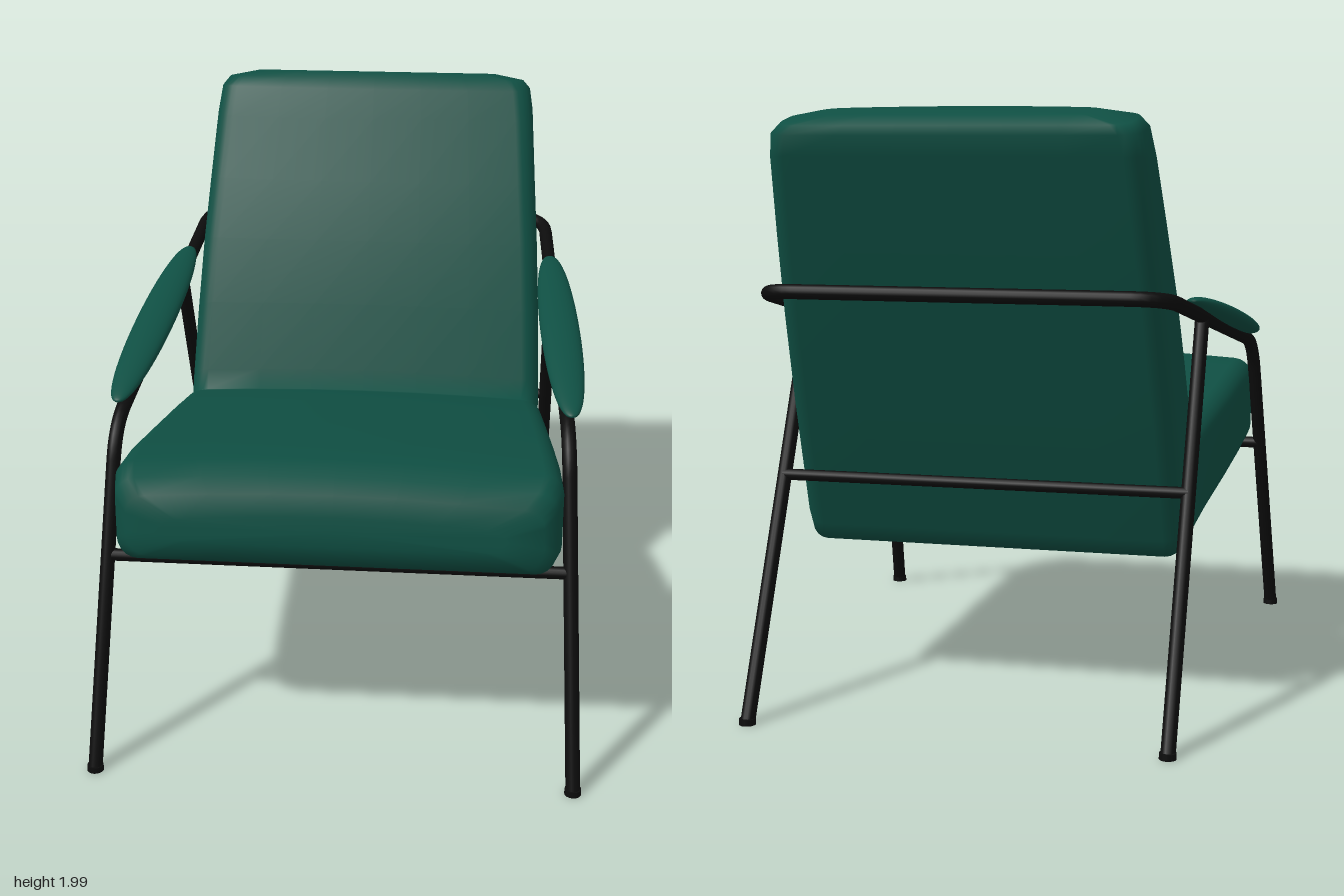
import * as THREE from 'three';

const fabric = new THREE.MeshStandardMaterial({ color: 0x0f4f43 });
fabric.name = 'green fabric';
const metal = new THREE.MeshStandardMaterial({ color: 0x0c0c0c });
metal.name = 'black metal';

function addMesh(parent, name, geometry, material) {
  const mesh = new THREE.Mesh(geometry, material);
  mesh.name = name;
  parent.add(mesh);
  return mesh;
}

// Straight runs joined by soft bends of the given reach
function bentPath(points, bend) {
  const path = new THREE.CurvePath();
  let from = points[0];
  for (let i = 1; i < points.length - 1; i++) {
    const p = points[i];
    const step = (q) => p.clone().add(q.clone().sub(p).setLength(bend));
    const before = step(points[i - 1]), after = step(points[i + 1]);
    path.add(new THREE.LineCurve3(from, before));
    path.add(new THREE.QuadraticBezierCurve3(before, p, after));
    from = after;
  }
  path.add(new THREE.LineCurve3(from, points[points.length - 1]));
  return path;
}

// One ring of the cushion: a rounded rectangle spanning inner to outer edge
function cushionRing([innerZ, innerY, outerZ, outerY, w]) {
  const len = Math.hypot(innerZ - outerZ, innerY - outerY);
  const h = len / 2, ru = Math.min(0.075, len * 0.4), rx = 0.065;
  const flat = [];
  for (let q = 0; q < 4; q++) {
    const sx = q === 0 || q === 3 ? 1 : -1, su = q < 2 ? 1 : -1;
    for (let s = 0; s <= 5; s++) {
      const a = (q + s / 5) * Math.PI / 2;
      flat.push([sx * (w - rx) + rx * Math.cos(a), su * (h - ru) + ru * Math.sin(a)]);
    }
    if (q % 2 === 0) {
      for (const t of [0.6, 0.3, 0, -0.3, -0.6]) flat.push([sx * t * w, su * h]);
    }
  }
  return flat.map(([x, u]) => {
    // Slight crown on the sitting side
    const v = u - 0.03 * (x / w) ** 2 * Math.max(0, u / h);
    const t = v / len + 0.5;
    return [x, outerY + (innerY - outerY) * t, outerZ + (innerZ - outerZ) * t];
  });
}

function cushionGeometry() {
  // inner z, inner y, outer z, outer y, half width; seat front to back top
  const ribs = [
    [0.885, 0.93, 0.898, 0.83, 0.55],
    [0.868, 1.0, 0.885, 0.77, 0.67],
    [0.83, 1.043, 0.84, 0.735, 0.71],
    [0.73, 1.06, 0.72, 0.708, 0.73],
    [0.55, 1.045, 0.52, 0.676, 0.722],
    [0.3, 1.005, 0.25, 0.632, 0.705],
    [0, 0.96, -0.08, 0.578, 0.68],
    [-0.18, 0.925, -0.39, 0.528, 0.662],
    [-0.25, 0.9, -0.465, 0.512, 0.655],
    [-0.275, 0.97, -0.5, 0.57, 0.655],
    [-0.36, 1.2, -0.66, 0.98, 0.645],
    [-0.45, 1.42, -0.78, 1.3, 0.632],
    [-0.55, 1.62, -0.88, 1.58, 0.616],
    [-0.665, 1.83, -0.965, 1.83, 0.6],
    [-0.715, 1.935, -0.988, 1.895, 0.587],
    [-0.745, 1.97, -0.975, 1.925, 0.56],
    [-0.79, 1.985, -0.92, 1.957, 0.45],
  ];
  const rings = ribs.map(cushionRing);
  const n = rings[0].length, last = (rings.length - 1) * n;
  const positions = rings.flat(2), index = [];
  for (let k = 0; k < rings.length - 1; k++) {
    for (let i = 0; i < n; i++) {
      const a = k * n + i, c = k * n + (i + 1) % n;
      index.push(a, a + n, c, c, a + n, c + n);
    }
  }
  // End caps
  const front = rings.length * n, top = front + 1;
  for (const r of [ribs[0], ribs[ribs.length - 1]]) {
    positions.push(0, (r[1] + r[3]) / 2, (r[0] + r[2]) / 2);
  }
  for (let i = 0; i < n; i++) {
    const j = (i + 1) % n;
    index.push(front, i, j, top, last + j, last + i);
  }
  const g = new THREE.BufferGeometry();
  g.setAttribute('position', new THREE.Float32BufferAttribute(positions, 3));
  g.setIndex(index);
  g.computeVertexNormals();
  return g;
}

// Long, blunt-ended oval pad along z
function padGeometry() {
  const g = new THREE.SphereGeometry(1, 28, 32).rotateX(Math.PI / 2);
  const p = g.attributes.position;
  for (let i = 0; i < p.count; i++) {
    const f = Math.max(1 - p.getZ(i) ** 2, 0.001) ** -0.1;
    p.setXY(i, p.getX(i) * f, p.getY(i) * f);
  }
  return g.scale(0.069, 0.034, 0.532);
}

export function createModel() {
  const chair = new THREE.Group();
  chair.name = 'armchair';
  const V = (x, y, z) => new THREE.Vector3(x, y, z);
  const tube = (name, points, r, bend = 0, segments = 1) =>
    addMesh(chair, name, new THREE.TubeGeometry(bentPath(points, bend), segments, r, 14), metal);

  addMesh(chair, 'seatAndBack', cushionGeometry(), fabric);

  // Front legs, arms and back rail bent from one tube
  tube('mainFrame', [
    V(0.795, 0.01, 0.972), V(0.742, 1.115, 0.63), V(0.66, 1.403, -0.868),
    V(-0.66, 1.403, -0.868), V(-0.742, 1.115, 0.63), V(-0.795, 0.01, 0.972),
  ], 0.024, 0.12, 240);

  // Cross bars
  tube('frontCrossBar', [V(-0.76, 0.7, 0.757), V(0.76, 0.7, 0.757)], 0.021);
  tube('rearCrossBar', [V(-0.69, 0.76, -0.612), V(0.69, 0.76, -0.612)], 0.019);

  for (const side of [1, -1]) {
    const label = side > 0 ? 'left' : 'right';
    tube(label + 'RearLeg', [V(side * 0.69, 0.01, -0.968), V(side * 0.688, 1.3, -0.345)], 0.024);

    // Foot caps
    for (const [end, x, z] of [['Front', 0.795, 0.972], ['Rear', 0.69, -0.972]]) {
      addMesh(chair, label + end + 'Foot', new THREE.CylinderGeometry(0.027, 0.028, 0.02, 16), metal)
        .position.set(side * x, 0.01, z);
    }

    // Arm pads
    const pad = addMesh(chair, label + 'ArmPad', padGeometry(), fabric);
    pad.position.set(side * 0.715, 1.266, 0.035);
    pad.lookAt(side * (0.715 + 0.07), 1.266 - 0.2, 0.035 + 1.03);
  }
  return chair;
}
